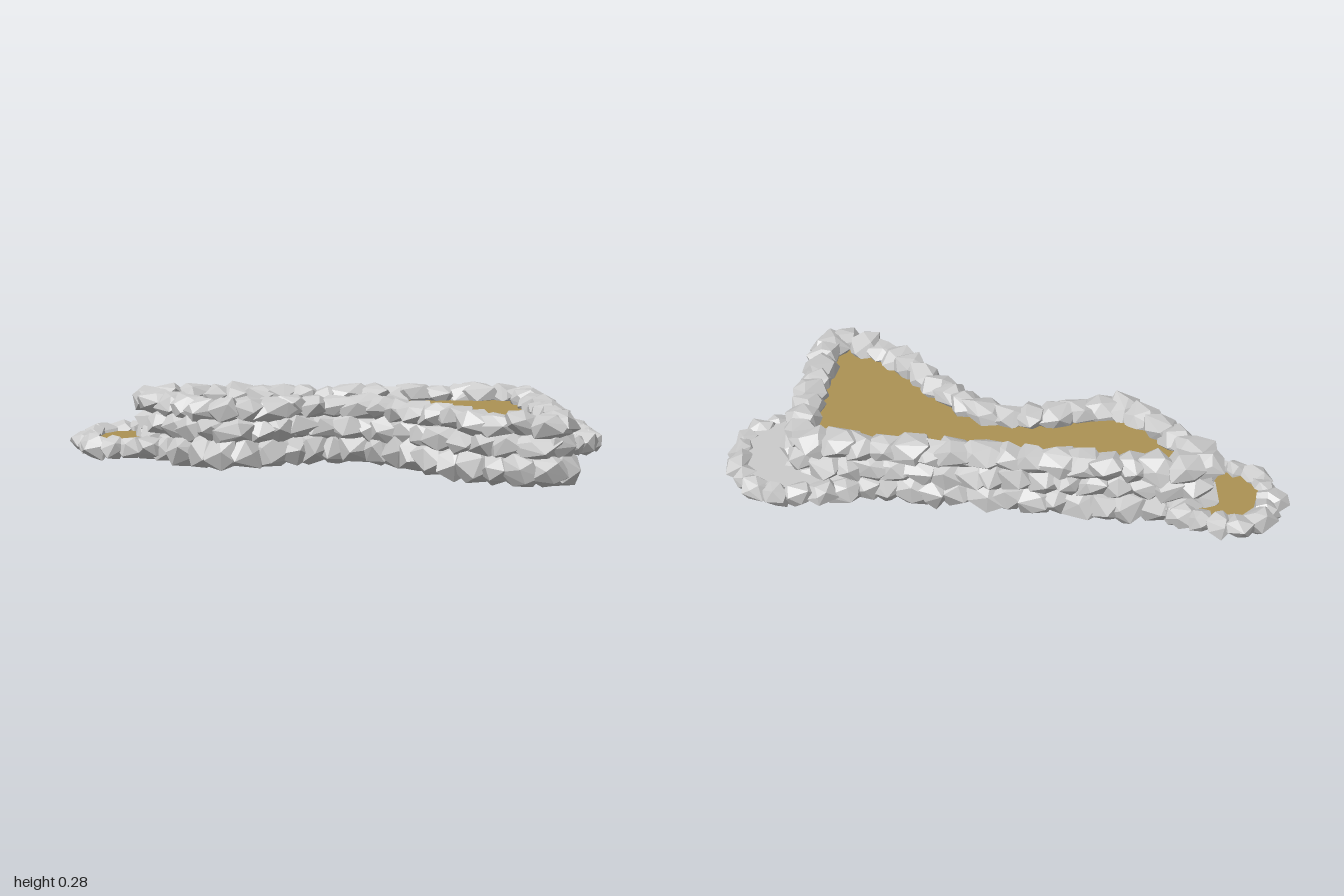
import * as THREE from 'three';
import { mergeGeometries } from 'three/addons/utils/BufferGeometryUtils.js';
import { ConvexGeometry } from 'three/addons/geometries/ConvexGeometry.js';

let seed = 7;
const rand = () => {
  seed = (seed * 16807) % 2147483647;
  return seed / 2147483647;
};
const jitter = (amount) => (rand() - 0.5) * 2 * amount;

const stoneMaterial = new THREE.MeshStandardMaterial({ color: 0xcccccc, flatShading: true });
const gravelMaterial = new THREE.MeshStandardMaterial({ color: 0xcccccc, side: THREE.DoubleSide });
const soilMaterial = new THREE.MeshStandardMaterial({ color: 0xac9254, side: THREE.DoubleSide });

// Smooth path on the ground through [x, z] pairs
function groundPath(points, closed) {
  const path = points.map(([x, z]) => new THREE.Vector3(x, 0, z));
  return new THREE.CatmullRomCurve3(path, closed, 'catmullrom', 0.3);
}

// Jagged boulder: hull of strongly jittered points around an ellipsoid
function boulder(length, height, width) {
  const count = 15;
  const points = [];
  const twist = rand() * 6.28;
  for (let i = 0; i < count; i++) {
    const y = 1 - (2 * (i + 0.5)) / count;
    const r = Math.sqrt(1 - y * y);
    const a = i * 2.39996 + twist + jitter(0.35);
    const p = new THREE.Vector3(Math.cos(a) * r, y, Math.sin(a) * r);
    p.multiplyScalar(1.03 + jitter(0.18));
    p.y = THREE.MathUtils.clamp(p.y * 1.1, -1.05, 1.05);
    points.push(p.multiply(new THREE.Vector3(length / 2, height / 2, width / 2)));
  }
  return new ConvexGeometry(points);
}

// One course of boulders set along a path
function stoneCourse(name, path, { y, spacing, length, height, width, closed, shift = 0 }) {
  const count = Math.round(path.getLength() / spacing);
  const stones = [];
  for (let i = 0; i < count; i++) {
    const u = closed ? ((i + shift) / count) % 1 : i / (count - 1);
    const p = path.getPointAt(u);
    const t = path.getTangentAt(u);
    const stone = boulder(length * (1 + jitter(0.2)), height * (1 + jitter(0.08)), width * (1 + jitter(0.1)));
    stone.rotateX(jitter(0.25));
    stone.rotateZ(jitter(0.15));
    stone.rotateY(Math.atan2(-t.z, t.x) + jitter(0.25));
    stone.translate(p.x + jitter(0.006), y + jitter(0.005), p.z + jitter(0.006));
    // keep every stone on or above the ground
    const pos = stone.attributes.position;
    for (let k = 0; k < pos.count; k++) pos.setY(k, Math.max(0, pos.getY(k)));
    stones.push(stone);
  }
  const mesh = new THREE.Mesh(mergeGeometries(stones), stoneMaterial);
  mesh.name = name;
  return mesh;
}

// Flat sheet filling the area inside a path
function bedFill(name, path, y, material) {
  const outline = path.getSpacedPoints(80).map((p) => new THREE.Vector2(p.x, -p.z));
  const geometry = new THREE.ShapeGeometry(new THREE.Shape(outline));
  geometry.rotateX(-Math.PI / 2);
  geometry.translate(0, y, 0);
  const mesh = new THREE.Mesh(geometry, material);
  mesh.name = name;
  return mesh;
}

export function createModel() {
  const model = new THREE.Group();
  model.name = 'rockGardenBeds';

  // Raised main bed: three stacked courses around the soil
  const mainPath = groundPath([
    [-0.705, -0.27], [-0.64, -0.31], [-0.4, -0.31], [-0.1, -0.31], [0.2, -0.31], [0.45, -0.31],
    [0.65, -0.305], [0.71, -0.24], [0.725, -0.05], [0.73, 0.2], [0.735, 0.36], [0.715, 0.395],
    [0.6, 0.365], [0.48, 0.305], [0.38, 0.21], [0.28, 0.12], [0.2, 0.03], [0.1, -0.035],
    [-0.02, -0.055], [-0.13, -0.05], [-0.25, 0.0], [-0.4, 0.04], [-0.5, -0.02],
    [-0.59, -0.11], [-0.675, -0.2],
  ], true);
  const mainBed = new THREE.Group();
  mainBed.name = 'mainBed';
  const courses = [
    ['bottomCourse', 0.069, 0.122, 0.155],
    ['middleCourse', 0.148, 0.105, 0.135],
    ['topCourse', 0.221, 0.088, 0.135],
  ];
  courses.forEach(([name, y, height, width], i) => {
    mainBed.add(stoneCourse(name, mainPath, {
      y, height, width, spacing: 0.085, length: 0.16, closed: true, shift: i * 0.5,
    }));
  });
  mainBed.add(bedFill('mainSoil', mainPath, 0.208, soilMaterial));
  model.add(mainBed);

  // Small low bed at the right end
  const smallPath = groundPath([
    [-0.64, -0.36], [-0.72, -0.385], [-0.82, -0.405], [-0.91, -0.345], [-0.945, -0.24],
    [-0.91, -0.13], [-0.82, -0.08], [-0.72, -0.085], [-0.63, -0.1],
  ], false);
  const smallBed = new THREE.Group();
  smallBed.name = 'smallBed';
  smallBed.add(
    stoneCourse('smallBedStones', smallPath, { y: 0.068, spacing: 0.065, length: 0.12, height: 0.085, width: 0.105 }),
    bedFill('smallBedSoil', smallPath, 0.08, soilMaterial),
  );
  model.add(smallBed);

  // Low gravel bed wrapping the back left corner
  const gravelPath = groundPath([
    [0.53, -0.37], [0.63, -0.405], [0.74, -0.425], [0.85, -0.4], [0.92, -0.31],
    [0.945, -0.2], [0.93, -0.1], [0.88, -0.02], [0.79, 0.04],
  ], false);
  const gravelBed = new THREE.Group();
  gravelBed.name = 'gravelBed';
  gravelBed.add(
    stoneCourse('gravelBedStones', gravelPath, { y: 0.078, spacing: 0.07, length: 0.125, height: 0.085, width: 0.1 }),
    bedFill('gravel', gravelPath, 0.107, gravelMaterial),
  );
  model.add(gravelBed);

  return model;
}
